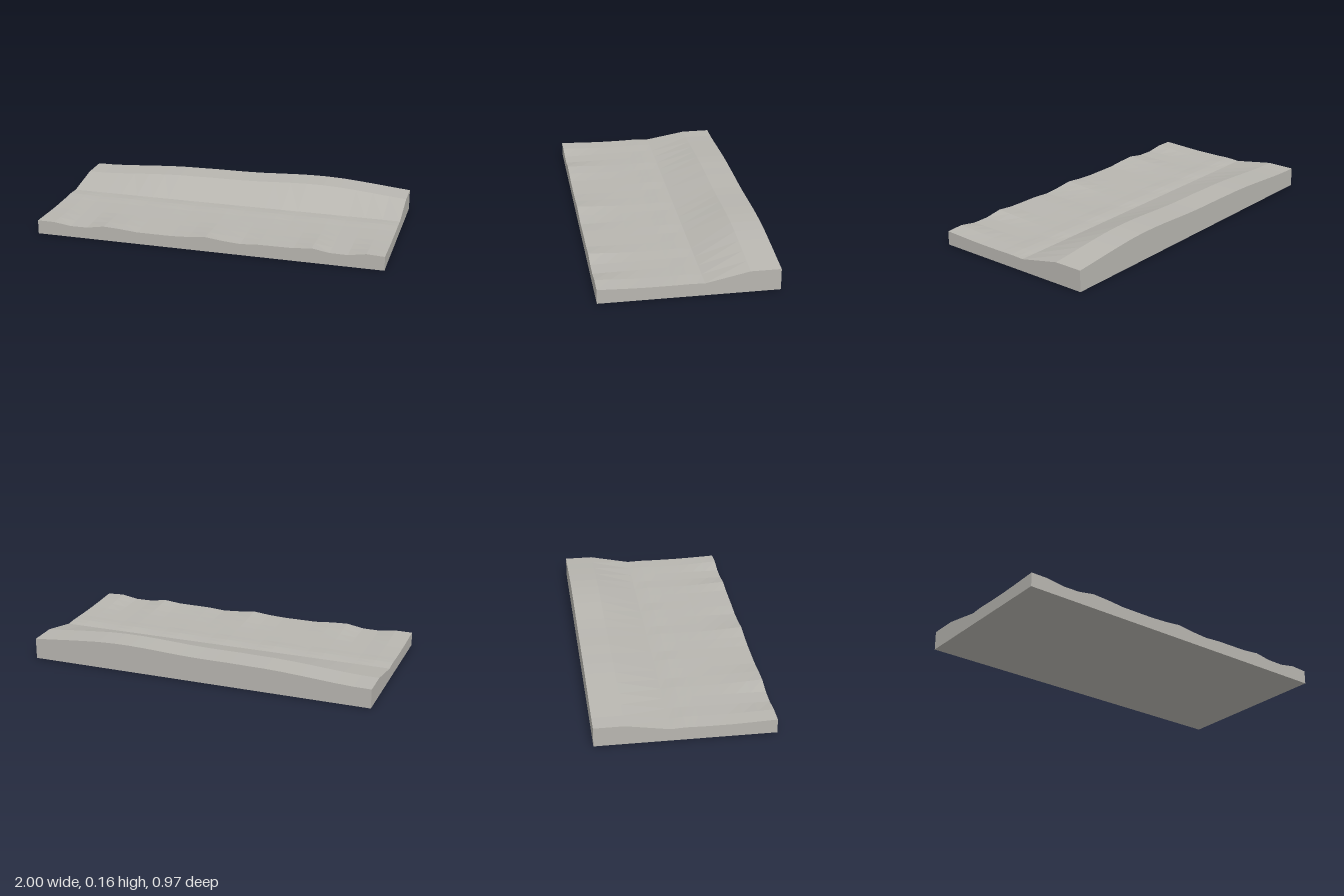
import * as THREE from 'three';

// Heights every 0.1 along x, from x = -1 to x = 1
const RIDGE = [0.11, 0.111, 0.116, 0.123, 0.13, 0.136, 0.14, 0.141, 0.143, 0.143, 0.144,
  0.147, 0.152, 0.157, 0.16, 0.16, 0.156, 0.148, 0.139, 0.129, 0.12];
const FRONT = [0.08, 0.08, 0.066, 0.067, 0.084, 0.079, 0.07, 0.07, 0.07, 0.075, 0.085,
  0.073, 0.066, 0.073, 0.074, 0.075, 0.085, 0.069, 0.068, 0.085, 0.08];
// Rows from back to front; how strongly the front edge's waves reach each row
const DEPTHS = [-0.485, -0.32, -0.08, -0.04, 0, 0.04, 0.08, 0.16, 0.24, 0.32, 0.4, 0.485];
const REACH = [0, 0, 0, 0, 0, 0, 0.05, 0.1, 0.2, 0.4, 0.7, 1];
const SWELL = [0, 0, 0, 0.003, 0.005, 0.004, 0.002, 0.001, 0, 0, 0, 0];
const LOW = 0.07;

function surfacePoint(i, j) {
  const x = -1 + i * 0.1;
  let y = LOW + (FRONT[i] - LOW) * REACH[j] + SWELL[j] * (0.9 + 0.4 * Math.sin(i * 2.1));
  if (j < 2) y = RIDGE[i];
  return [x, y, DEPTHS[j]];
}

const ground = ([x, , z]) => [x, 0, z];

// Faceted mesh from a list of four-cornered faces
function facetMesh(name, quads, material) {
  const points = quads.flatMap(([a, b, c, d]) => [a, b, c, a, c, d]).flat();
  const geometry = new THREE.BufferGeometry();
  geometry.setAttribute('position', new THREE.Float32BufferAttribute(points, 3));
  geometry.computeVertexNormals();
  const mesh = new THREE.Mesh(geometry, material);
  mesh.name = name;
  return mesh;
}

export function createModel() {
  const group = new THREE.Group();
  group.name = 'terrainSlab';
  const stone = new THREE.MeshStandardMaterial({ color: 0xb8b6b0 });
  stone.name = 'pale grey stone';
  const nx = RIDGE.length - 1;
  const nz = DEPTHS.length - 1;

  // Upper surface: raised back shelf, straight bank, rippled low ground
  const top = [];
  for (let i = 0; i < nx; i++) {
    for (let j = 0; j < nz; j++) {
      top.push([surfacePoint(i, j), surfacePoint(i, j + 1),
        surfacePoint(i + 1, j + 1), surfacePoint(i + 1, j)]);
    }
  }
  group.add(facetMesh('terrainSurface', top, stone));

  // Border path: front, right end, back, left end
  const border = [];
  for (let i = 0; i < nx; i++) border.push(surfacePoint(i, nz));
  for (let j = nz; j > 0; j--) border.push(surfacePoint(nx, j));
  for (let i = nx; i > 0; i--) border.push(surfacePoint(i, 0));
  for (let j = 0; j < nz; j++) border.push(surfacePoint(0, j));
  const walls = border.map((p, k) => {
    const q = border[(k + 1) % border.length];
    return [ground(p), ground(q), q, p];
  });
  group.add(facetMesh('sideWalls', walls, stone));

  // Flat underside
  const z = DEPTHS[nz];
  group.add(facetMesh('underside', [[[-1, 0, -z], [1, 0, -z], [1, 0, z], [-1, 0, z]]], stone));
  return group;
}
